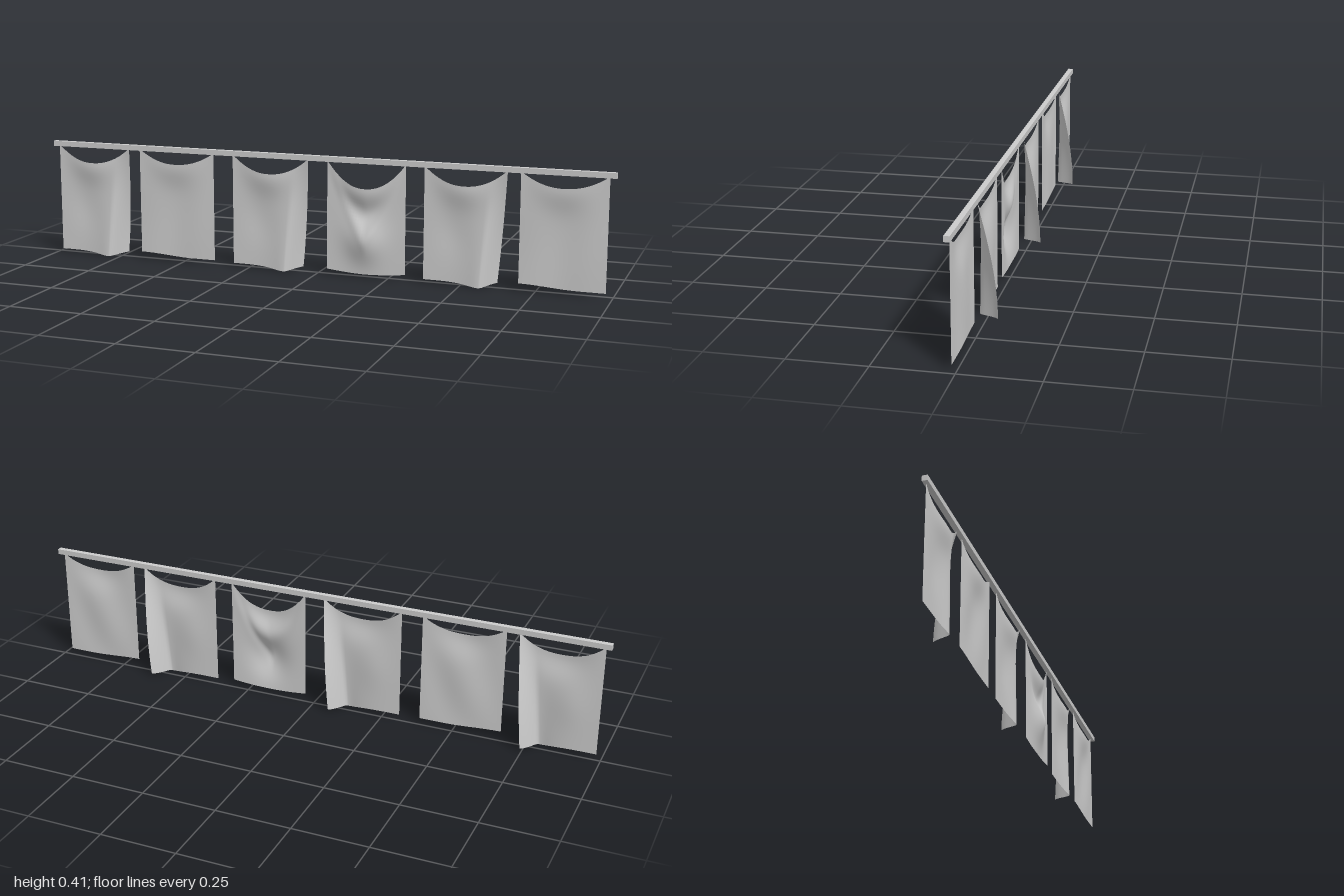
import * as THREE from 'three';

const mat = new THREE.MeshStandardMaterial({ color: 0xcccccc, side: THREE.DoubleSide });
const bump = (t, c, w) => Math.exp(-(((t - c) / w) ** 2));
const smooth = THREE.MathUtils.smoothstep;
const lerp = THREE.MathUtils.lerp;

// hanging cloth: u runs left to right, v from the rail down
function cloth({ left, width, sag, hem, shape }) {
  const geo = new THREE.PlaneGeometry(1, 1, 28, 28);
  const pos = geo.attributes.position;
  for (let i = 0; i < pos.count; i++) {
    const u = pos.getX(i) + 0.5, v = 0.5 - pos.getY(i);
    const top = 0.393 - sag * (1 - Math.abs(2 * u - 1) ** 2.2);
    const { dx = 0, z } = shape(u, v);
    pos.setXYZ(i, left + width * u + dx, lerp(top, hem(u), v), z);
  }
  geo.computeVertexNormals();
  return geo;
}

// neckline rolls forward in the middle, fading down the cloth
const neck = (u, v, depth) => depth * Math.sin(Math.PI * u) ** 2 * bump(v, 0.03, 0.18);

// right edge swept backwards
const swept = (u, v) => {
  const fold = smooth(u, 0.78, 1.0) * 0.4 + Math.max(0, (u - 0.8) / 0.2) * 0.6;
  const sweep = Math.sin(v * Math.PI / 2);
  return {
    dx: -0.038 * v * smooth(u, 0.5, 1),
    z: 0.016 + neck(u, v, 0.015) + 0.013 * v * bump(u, 0.74, 0.25) - 0.058 * sweep * fold
      - 0.005 * bump(u, 0.35, 0.2) * bump(v, 0.5, 0.25),
  };
};

// nearly flat cloth with faint ripples
const flat = (u, v) => ({
  z: 0.016 + neck(u, v, 0.012) + 0.005 * Math.sin(u * 7 + v * 3) * Math.sin(Math.PI * v) * Math.sin(Math.PI * u),
});

// deep neckline with a draped V fold and a billow below it
const draped = (u, v) => {
  const d = Math.abs(u - 0.5);
  return {
    z: 0.016 + neck(u, v, 0.016)
      + 0.026 * bump(u, 0.5, 0.24) * bump(v, 0.62, 0.24)
      - 0.008 * bump(v, 0.3 - d * 0.4, 0.12) * bump(u, 0.5, 0.3)
      + 0.004 * bump(v, 0.62 - d * 1.4, 0.1) * Math.sin(Math.PI * u),
  };
};

const styles = {
  swept: { width: 0.277, sag: 0.058, shape: swept, hem: u => 0.012 - 0.012 * bump(u, 0.74, 0.28) },
  flat: { width: 0.283, sag: 0.046, shape: flat, hem: u => 0.025 - 0.01 * smooth(u, 0, 0.7) },
  draped: { width: 0.275, sag: 0.088, shape: draped, hem: u => 0.02 - 0.009 * Math.sin(Math.PI * u) },
};

export function createModel() {
  const group = new THREE.Group();

  // square rail
  const rail = new THREE.Mesh(new THREE.BoxGeometry(2, 0.018, 0.018), mat);
  rail.name = 'rail';
  rail.position.set(0, 0.398, 0.018);
  group.add(rail);

  // row of six cloths
  const row = [
    ['swept', -0.982], ['flat', -0.663], ['swept', -0.308],
    ['draped', 0.037], ['swept', 0.375], ['flat', 0.695],
  ];
  row.forEach(([style, left], i) => {
    const mesh = new THREE.Mesh(cloth({ ...styles[style], left }), mat);
    mesh.name = `hangingCloth${i + 1}`;
    group.add(mesh);
  });
  return group;
}
